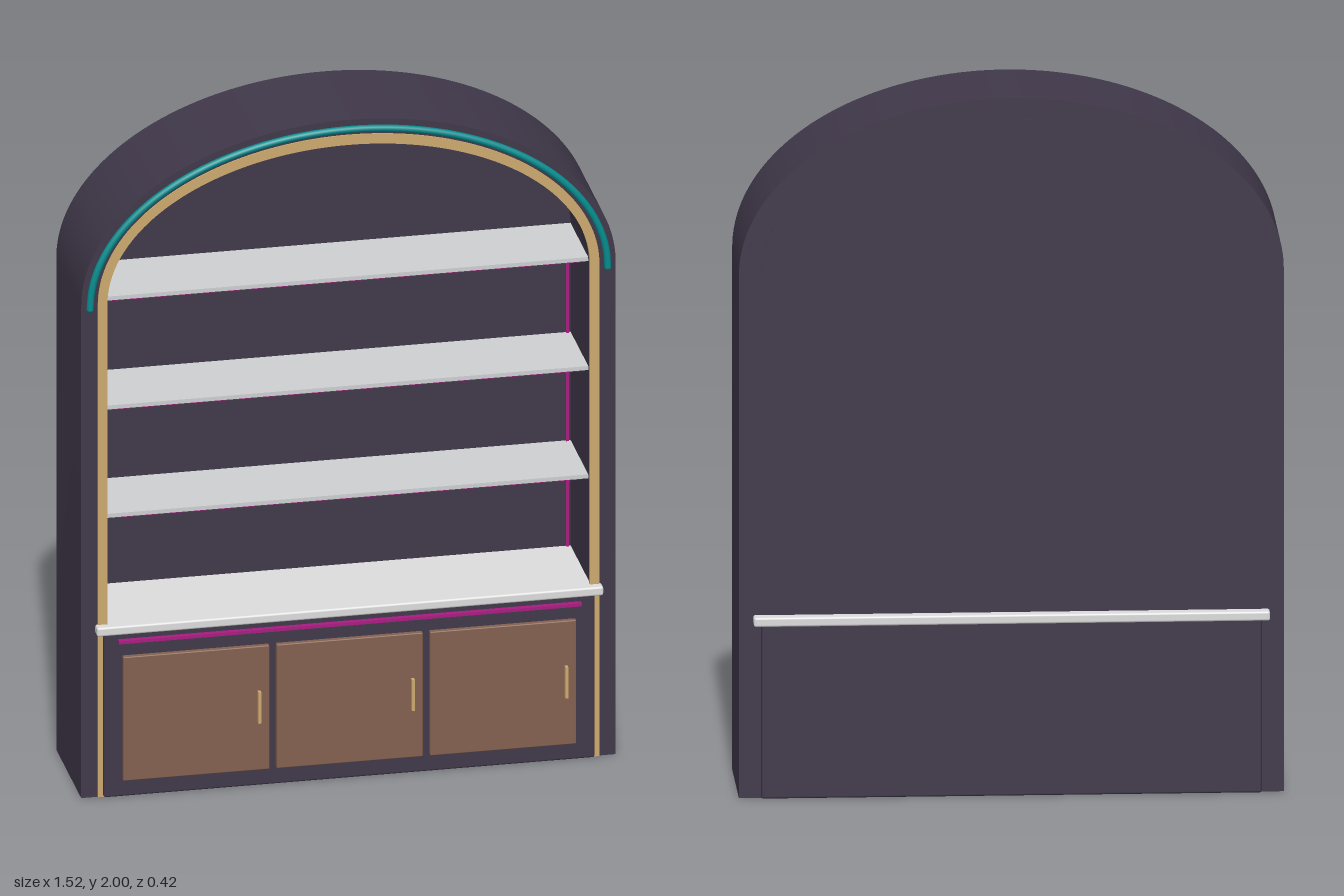
import * as THREE from 'three';
import { toCreasedNormals } from 'three/addons/utils/BufferGeometryUtils.js';
import { RoundedBoxGeometry } from 'three/addons/geometries/RoundedBoxGeometry.js';

const SPRING = 1.5; // height where the arch begins

const material = (name, color) => {
  const m = new THREE.MeshStandardMaterial({ color });
  m.name = name;
  return m;
};

// Outline of an arch: straight legs with a half ellipse on top
function archPath(PathType, rx, ry, bottom = 0) {
  const p = new PathType();
  p.moveTo(rx, bottom);
  p.lineTo(rx, SPRING);
  p.absellipse(0, SPRING, rx, ry, 0, Math.PI, false, 0);
  p.lineTo(-rx, bottom);
  p.closePath();
  return p;
}

// Arch band standing on the floor, open between its legs
function archBand(rxOut, ryOut, rxIn, ryIn) {
  const s = new THREE.Shape();
  s.moveTo(rxOut, 0);
  s.lineTo(rxOut, SPRING);
  s.absellipse(0, SPRING, rxOut, ryOut, 0, Math.PI, false, 0);
  s.lineTo(-rxOut, 0);
  s.lineTo(-rxIn, 0);
  s.lineTo(-rxIn, SPRING);
  s.absellipse(0, SPRING, rxIn, ryIn, Math.PI, 0, true, 0);
  s.lineTo(rxIn, 0);
  s.closePath();
  return s;
}

function extrude(shape, z0, z1) {
  const g = new THREE.ExtrudeGeometry(shape, { depth: z1 - z0, bevelEnabled: false, curveSegments: 48 });
  g.translate(0, 0, z0);
  return toCreasedNormals(g, 0.5);
}

export function createModel() {
  const group = new THREE.Group();
  const dark = material('dark plum paint', 0x40384a);
  const gold = material('brass', 0xcdaa70);
  const teal = material('teal neon', 0x058c8e);
  const wood = material('brown wood', 0x83604f);
  const stone = material('pale stone', 0xdcdcdc);
  const shelfGrey = material('shelf grey', 0xcdd0d2);
  const magenta = material('magenta light', 0xa81c80);

  const add = (name, geometry, mat) => {
    const mesh = new THREE.Mesh(geometry, mat);
    mesh.name = name;
    group.add(mesh);
    return mesh;
  };
  // Box given by its limits on each axis
  const box = (name, mat, [x0, x1], [y0, y1], [z0, z1], radius = 0) => {
    const size = [x1 - x0, y1 - y0, z1 - z0];
    const g = radius ? new RoundedBoxGeometry(...size, 2, radius) : new THREE.BoxGeometry(...size);
    const mesh = add(name, g, mat);
    mesh.position.set((x0 + x1) / 2, (y0 + y1) / 2, (z0 + z1) / 2);
    return mesh;
  };

  // Arched surround and back panel
  add('archFrame', extrude(archBand(0.762, 0.5, 0.69, 0.428), -0.175, 0.17), dark);
  add('backPanel', extrude(archPath(THREE.Shape, 0.7, 0.44), -0.177, -0.105), dark);

  // Brass trim around the opening
  add('archTrim', extrude(archBand(0.715, 0.455, 0.688, 0.425), 0.16, 0.174), gold);

  // Neon tube following the arch
  const arc = [];
  for (let i = 0; i <= 32; i++) {
    const a = (Math.PI * i) / 32;
    arc.push(new THREE.Vector3(0.738 * Math.cos(a), SPRING - 0.01 + 0.483 * Math.sin(a), 0.176));
  }
  add('neonTube', new THREE.TubeGeometry(new THREE.CatmullRomCurve3(arc), 96, 0.01, 10), teal);
  for (const side of [-1, 1]) {
    const cap = add('neonTubeEnd', new THREE.SphereGeometry(0.01, 10, 8), teal);
    cap.position.set(side * 0.738, SPRING - 0.01, 0.176);
  }

  // Shelves with a light strip under each
  for (const y of [0.84, 1.17, 1.502]) {
    box('shelf', shelfGrey, [-0.69, 0.69], [y - 0.006, y + 0.006], [-0.106, 0.14]);
    box('shelfLight', magenta, [-0.67, 0.67], [y - 0.013, y - 0.006], [0.118, 0.128]);
  }

  // Upright light strips in the back corners
  for (const side of [-1, 1]) {
    const x = side * 0.68;
    box('cornerLight', magenta, [x - 0.004, x + 0.004], [0.525, 1.496], [-0.106, -0.098]);
  }

  // Base cabinet, counter and its light
  box('cabinet', dark, [-0.7, 0.7], [0, 0.5], [-0.19, 0.182], 0.006);
  box('counter', stone, [-0.722, 0.722], [0.498, 0.525], [-0.212, 0.198], 0.006);
  box('counterLight', magenta, [-0.66, 0.66], [0.471, 0.48], [0.18, 0.198]);

  // Three doors with brass handles
  for (const x of [-0.4375, 0, 0.4375]) {
    box('door', wood, [x - 0.21, x + 0.207], [0.053, 0.43], [0.18, 0.197], 0.003);
    box('handle', gold, [x + 0.173, x + 0.181], [0.2, 0.295], [0.196, 0.211]);
  }

  return group;
}
